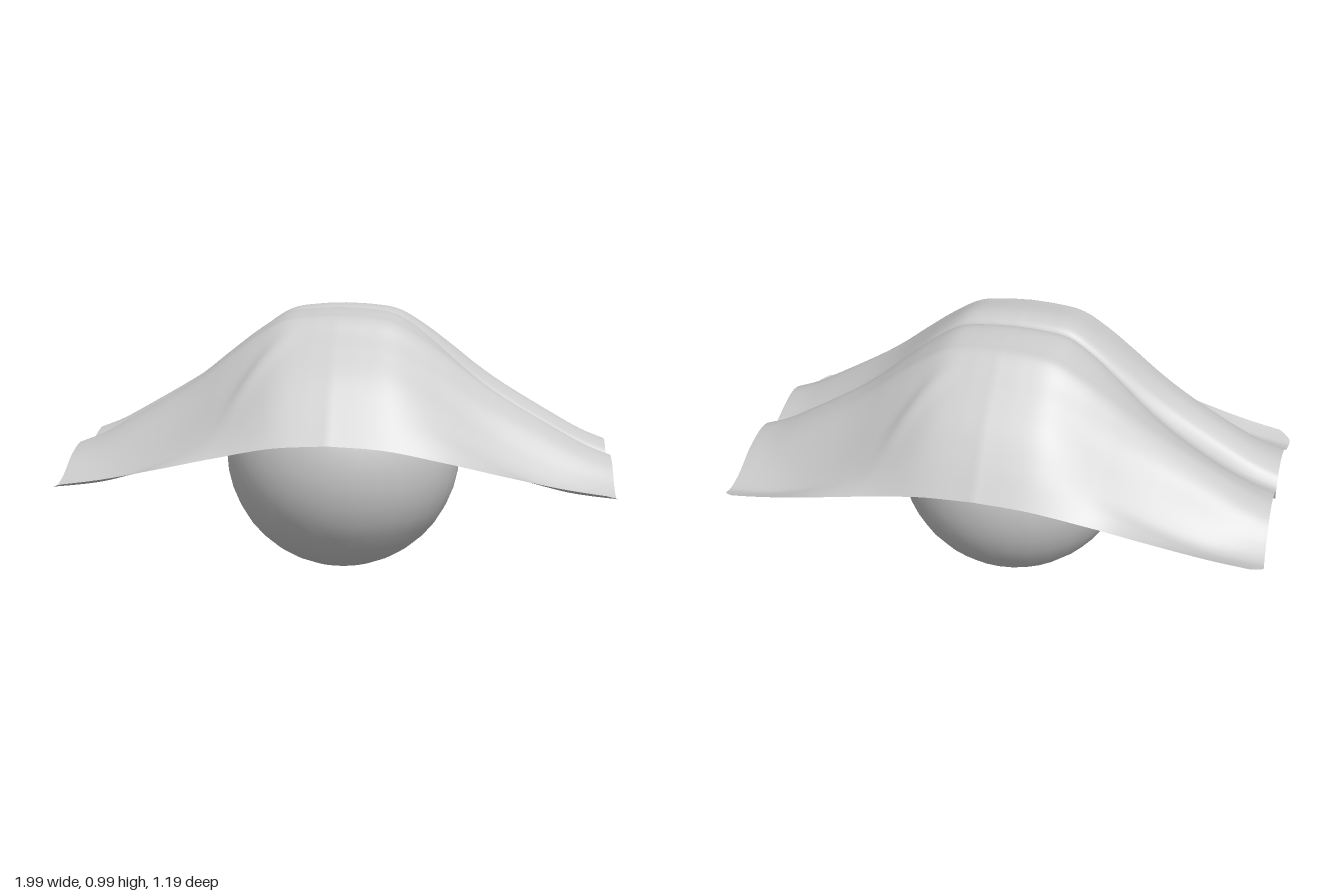
import * as THREE from 'three';

// Smooth curve through [position, value] points (cubic Hermite)
function curve(pts) {
  const n = pts.length - 1;
  const slope = (i) => {
    const a = pts[Math.max(0, i - 1)], b = pts[Math.min(n, i + 1)];
    return (b[1] - a[1]) / (b[0] - a[0]);
  };
  return (u) => {
    let i = 0;
    while (i < n - 1 && u > pts[i + 1][0]) i++;
    const h = pts[i + 1][0] - pts[i][0];
    const t = THREE.MathUtils.clamp((u - pts[i][0]) / h, 0, 1);
    const t2 = t * t, t3 = t2 * t;
    return (2 * t3 - 3 * t2 + 1) * pts[i][1] + (t3 - 2 * t2 + t) * h * slope(i)
      + (3 * t2 - 2 * t3) * pts[i + 1][1] + (t3 - t2) * h * slope(i + 1);
  };
}

// Along the cloth: ridge height, hem height and hem depth against |x|
const ridgeY = curve([[0, 0.99], [0.1, 0.985], [0.2, 0.968], [0.3, 0.91], [0.4, 0.835],
  [0.5, 0.755], [0.6, 0.685], [0.8, 0.565], [0.9, 0.51], [1, 0.47]]);
const hemY = curve([[0, 0.57], [0.2, 0.555], [0.4, 0.51], [0.6, 0.46], [0.8, 0.415], [1, 0.385]]);
const hemZ = curve([[0, 0.597], [0.2, 0.588], [0.4, 0.565], [0.6, 0.543], [0.8, 0.52], [1, 0.5]]);

// Across the cloth: 1 is the ridge, 0 the hem, from centre crease to edge
const middle = curve([[0, 0.88], [0.025, 0.95], [0.08, 0.99], [0.17, 1], [0.33, 0.97], [0.4, 0.945],
  [0.5, 0.82], [0.6, 0.7], [0.75, 0.5], [0.88, 0.26], [1, 0]]);
const endWide = curve([[0, -0.05], [0.03, 0.4], [0.1, 0.6], [0.25, 0.88], [0.4, 1],
  [0.55, 0.78], [0.7, 0.15], [0.82, -0.18], [0.92, -0.1], [1, 0.05]]);
const endNarrow = curve([[0, -0.05], [0.03, 0.4], [0.1, 0.8], [0.26, 1], [0.5, 0.7],
  [0.7, 0.12], [0.85, -0.14], [0.93, -0.07], [1, 0.05]]);

function createCloth(material) {
  const geometry = new THREE.PlaneGeometry(2, 2, 128, 128).rotateX(-Math.PI / 2);
  const pos = geometry.attributes.position;
  for (let i = 0; i < pos.count; i++) {
    const s = pos.getX(i), t = pos.getZ(i);
    // rows crowd towards the centre crease
    const v = Math.pow(Math.abs(t), 1.5);
    // short ends bow slightly and their corners are rounded
    const corner = Math.max(0, (v - 0.9) / 0.1);
    const x = s * (0.985 + 0.015 * Math.pow(v, 4) - 0.05 * corner * corner);
    const ax = Math.abs(x);
    const z = Math.sign(t) * v * hemZ(ax);
    // folds grow from the dome towards the ends, with half-turn symmetry
    const end = s * t >= 0 ? endWide(v) : endNarrow(v);
    const shape = THREE.MathUtils.lerp(middle(v), end, THREE.MathUtils.smoothstep(ax, 0.2, 1));
    let y = THREE.MathUtils.lerp(hemY(ax), ridgeY(ax), shape);
    // diagonal wrinkle on two opposite shoulders
    if (s * t < 0) {
      const across = (ax - 0.28 - 0.9 * (Math.abs(z) - 0.38)) / 0.05;
      const along = (Math.abs(z) - 0.38) / 0.08;
      y += 0.015 * Math.exp(-across * across - along * along);
    }
    pos.setXYZ(i, x, y, z);
  }
  geometry.computeVertexNormals();
  const cloth = new THREE.Mesh(geometry, material);
  cloth.name = 'drapedCloth';
  return cloth;
}

export function createModel() {
  const group = new THREE.Group();
  group.name = 'clothOverBall';

  // Ball under the cloth
  const ball = new THREE.Mesh(
    new THREE.SphereGeometry(0.44, 32, 20),
    new THREE.MeshStandardMaterial({ color: 0xcccccc }));
  ball.name = 'ball';
  ball.position.y = 0.44;
  group.add(ball);

  // Thin draped sheet
  group.add(createCloth(new THREE.MeshStandardMaterial({ color: 0xcccccc, side: THREE.DoubleSide })));
  return group;
}
